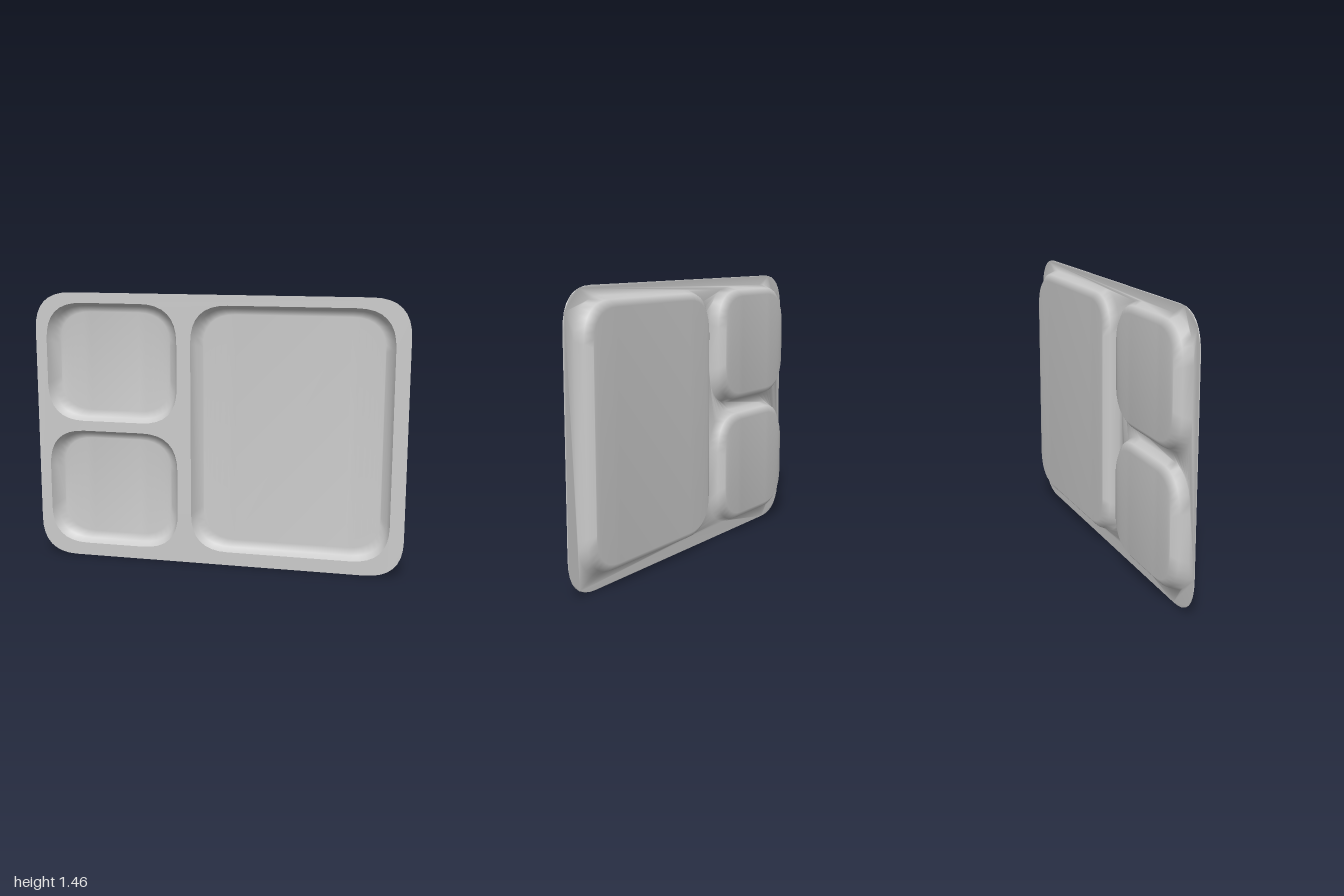
import * as THREE from 'three';
import { mergeGeometries, mergeVertices } from 'three/addons/utils/BufferGeometryUtils.js';

const FRONT = 0.038, THICK = 0.004, STEPS = 8;
const TRAY = [-1, 1, 0, 1.46];
const POCKETS = [
  ['largePocket', [-0.14, 0.925, 0.073, 1.405]],
  ['upperSmallPocket', [-0.94, -0.215, 0.765, 1.405]],
  ['lowerSmallPocket', [-0.94, -0.215, 0.07, 0.71]],
];
// Pocket wall profile: [inset from the opening, z]
const PROFILE = [[0, FRONT], [0.018, -0.005], [0.052, -0.034]];

// Counter-clockwise rectangle with soft corners, from lower left to upper left
function outline([x0, x1, y0, y1], r, inset = 0) {
  x0 += inset; x1 -= inset; y0 += inset; y1 -= inset;
  const corners = [
    [x0, y0 + r, x0, y0, x0 + r, y0], [x1 - r, y0, x1, y0, x1, y0 + r],
    [x1, y1 - r, x1, y1, x1 - r, y1], [x0 + r, y1, x0, y1, x0, y1 - r],
  ];
  return corners.flatMap(([ax, ay, bx, by, cx, cy]) => new THREE.QuadraticBezierCurve(
    new THREE.Vector2(ax, ay), new THREE.Vector2(bx, by), new THREE.Vector2(cx, cy)).getPoints(STEPS));
}

function makeGeometry(positions, index) {
  const g = new THREE.BufferGeometry();
  g.setAttribute('position', new THREE.Float32BufferAttribute(positions, 3));
  g.setIndex(index);
  return g;
}

// Skin through rings stacked front to back, facing inward (outward if flipped),
// optionally closed by a floor of upright strips
function loft(rings, floor, flip) {
  const n = rings[0].points.length, positions = [], index = [];
  const quad = (a, b, c, d) => index.push(...(flip ? [a, c, b, a, d, c] : [a, b, c, a, c, d]));
  rings.forEach(({ points, z }) => points.forEach(p => positions.push(p.x, p.y, z)));
  for (let k = 0; k < rings.length - 1; k++) {
    for (let i = 0; i < n; i++) {
      const j = (i + 1) % n;
      quad(k * n + i, k * n + j, (k + 1) * n + j, (k + 1) * n + i);
    }
  }
  if (floor) {
    const base = (rings.length - 1) * n;
    for (let i = 0; i < n / 2 - 1; i++) quad(base + i, base + i + 1, base + n - 2 - i, base + n - 1 - i);
  }
  return makeGeometry(positions, index);
}

// Pocket skin: front lining, or the back shell one wall thickness outside it
function pocket(rect, back) {
  const t = back ? THICK : 0;
  const rings = PROFILE.map(([inset, z]) => ({ points: outline(rect, 0.2 - inset * 0.4, inset - t), z: z - t }));
  return loft(rings, true, back);
}

// Flat rim with the three openings
function rim(z, grow, back) {
  const shape = new THREE.Shape(outline(TRAY, 0.2));
  POCKETS.forEach(([, rect]) => shape.holes.push(new THREE.Path(outline(rect, 0.2, -grow))));
  const g = new THREE.ShapeGeometry(shape);
  g.translate(0, 0, z);
  const index = Array.from(g.index.array);
  if (back) index.reverse();
  return makeGeometry(Array.from(g.attributes.position.array), index);
}

export function createModel() {
  const group = new THREE.Group();
  const material = new THREE.MeshStandardMaterial({ color: 0xcccccc });
  const add = (name, geometry) => {
    geometry.computeVertexNormals();
    const mesh = new THREE.Mesh(geometry, material);
    mesh.name = name;
    group.add(mesh);
  };

  // Front face and pocket linings meet at a crisp edge
  add('frontRim', rim(FRONT, 0, false));
  POCKETS.forEach(([name, rect]) => add(name, pocket(rect, false)));

  // Back shell and outer edge blend smoothly into one skin
  const edgePoints = outline(TRAY, 0.2);
  const edge = loft([{ points: edgePoints, z: FRONT }, { points: edgePoints, z: FRONT - THICK }], false, true);
  const skins = [rim(FRONT - THICK, THICK, true), edge, ...POCKETS.map(([, rect]) => pocket(rect, true))];
  add('backShell', mergeVertices(mergeGeometries(skins), 1e-5));
  return group;
}
